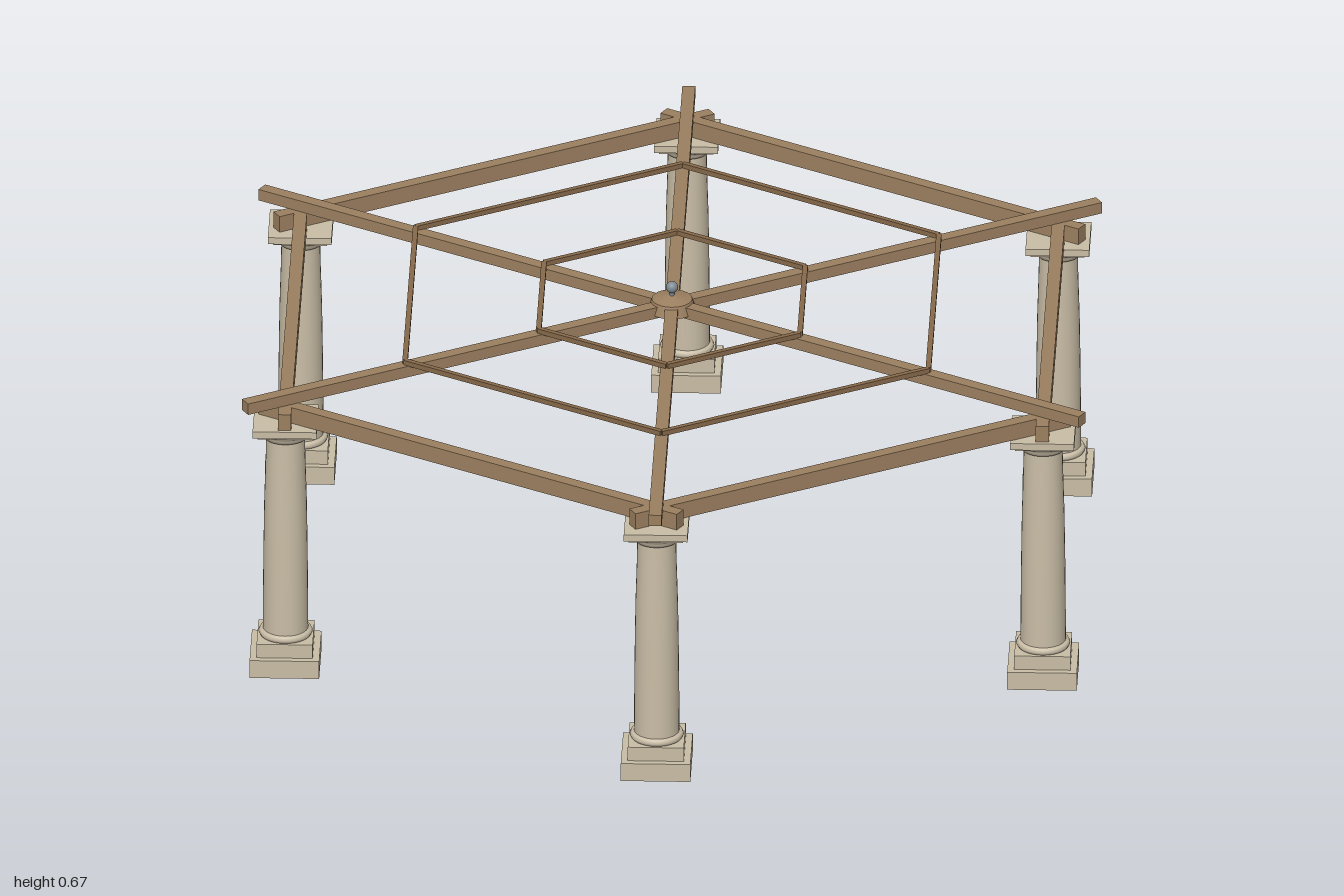
import * as THREE from 'three';

export function createModel() {
  const model = new THREE.Group();
  model.name = 'pergola';
  const mat = (color, extra = {}) => new THREE.MeshStandardMaterial({ color, ...extra });
  const stone = mat(0xc9bda6, { side: THREE.DoubleSide });
  const wood = mat(0x9c8060);
  const slatWood = mat(0x86694a);
  const metal = mat(0x7f8a94);

  const add = (parent, name, geometry, material, x = 0, y = 0, z = 0) => {
    const mesh = new THREE.Mesh(geometry, material);
    mesh.name = name;
    mesh.position.set(x, y, z);
    parent.add(mesh);
    return mesh;
  };

  // Hexagon corner i at radius r, with corners on the z axis
  const corner = (i, r) => {
    const a = (i * Math.PI) / 3;
    return new THREE.Vector3(Math.sin(a) * r, 0, Math.cos(a) * r);
  };

  // Horizontal timber between two points, extended past both ends
  const timber = (name, a, b, y, width, height, extend, material) => {
    const geometry = new THREE.BoxGeometry(width, height, a.distanceTo(b) + 2 * extend);
    const mid = a.clone().add(b).multiplyScalar(0.5);
    const mesh = add(model, name, geometry, material, mid.x, y, mid.z);
    mesh.rotation.y = Math.atan2(b.x - a.x, b.z - a.z);
  };

  const lathe = (points) =>
    new THREE.LatheGeometry(points.map(([r, y]) => new THREE.Vector2(r, y)), 32);

  // Column parts, shared by all six columns
  const plinth = new THREE.BoxGeometry(0.144, 0.04, 0.144);
  const step = new THREE.BoxGeometry(0.116, 0.031, 0.116);
  const torus = lathe([[0.047, 0.07], [0.053, 0.071], [0.056, 0.077], [0.053, 0.083], [0.047, 0.085]]);
  const shaft = lathe([[0.047, 0.083], [0.0465, 0.18], [0.0455, 0.28], [0.044, 0.38], [0.041, 0.48], [0.04, 0.535]]);
  const echinus = lathe([[0.04, 0.525], [0.046, 0.526], [0.046, 0.532], [0.049, 0.536], [0.053, 0.543], [0.055, 0.55]]);
  const abacus = new THREE.BoxGeometry(0.132, 0.015, 0.132);
  const abacusBed = new THREE.BoxGeometry(0.112, 0.008, 0.112);

  const columnRadius = 0.905;
  for (let i = 0; i < 6; i++) {
    const column = new THREE.Group();
    column.name = 'column';
    column.position.copy(corner(i, columnRadius));
    add(column, 'plinth', plinth, stone, 0, 0.02, 0);
    add(column, 'plinthStep', step, stone, 0, 0.0555, 0);
    add(column, 'baseMoulding', torus, stone);
    add(column, 'shaft', shaft, stone);
    add(column, 'echinus', echinus, stone);
    add(column, 'abacusBed', abacusBed, stone, 0, 0.547, 0);
    add(column, 'abacus', abacus, stone, 0, 0.5575, 0);
    model.add(column);

    // Perimeter beam to the next column
    timber('perimeterBeam', corner(i, columnRadius), corner(i + 1, columnRadius),
      0.583, 0.027, 0.036, 0.057, wood);

    // Two hexagonal rings of thin slats on top of the rafters
    for (const r of [0.312, 0.625]) {
      timber('ringSlat', corner(i, r), corner(i + 1, r), 0.63, 0.011, 0.011, 0, slatWood);
    }
  }

  // Three rafters crossing at the centre
  for (let i = 0; i < 3; i++) {
    timber('rafter', corner(i, 1), corner(i + 3, 1), 0.613, 0.027, 0.025, 0, wood);
  }

  // Central hub with a ball finial
  add(model, 'hub', new THREE.CylinderGeometry(0.042, 0.05, 0.024, 24), wood, 0, 0.619, 0);
  add(model, 'hubCap', new THREE.CylinderGeometry(0.008, 0.042, 0.008, 24), wood, 0, 0.635, 0);
  add(model, 'finialStem', new THREE.CylinderGeometry(0.005, 0.005, 0.02, 12), metal, 0, 0.644, 0);
  add(model, 'finialBall', new THREE.SphereGeometry(0.0125, 20, 14), metal, 0, 0.657, 0);

  return model;
}
